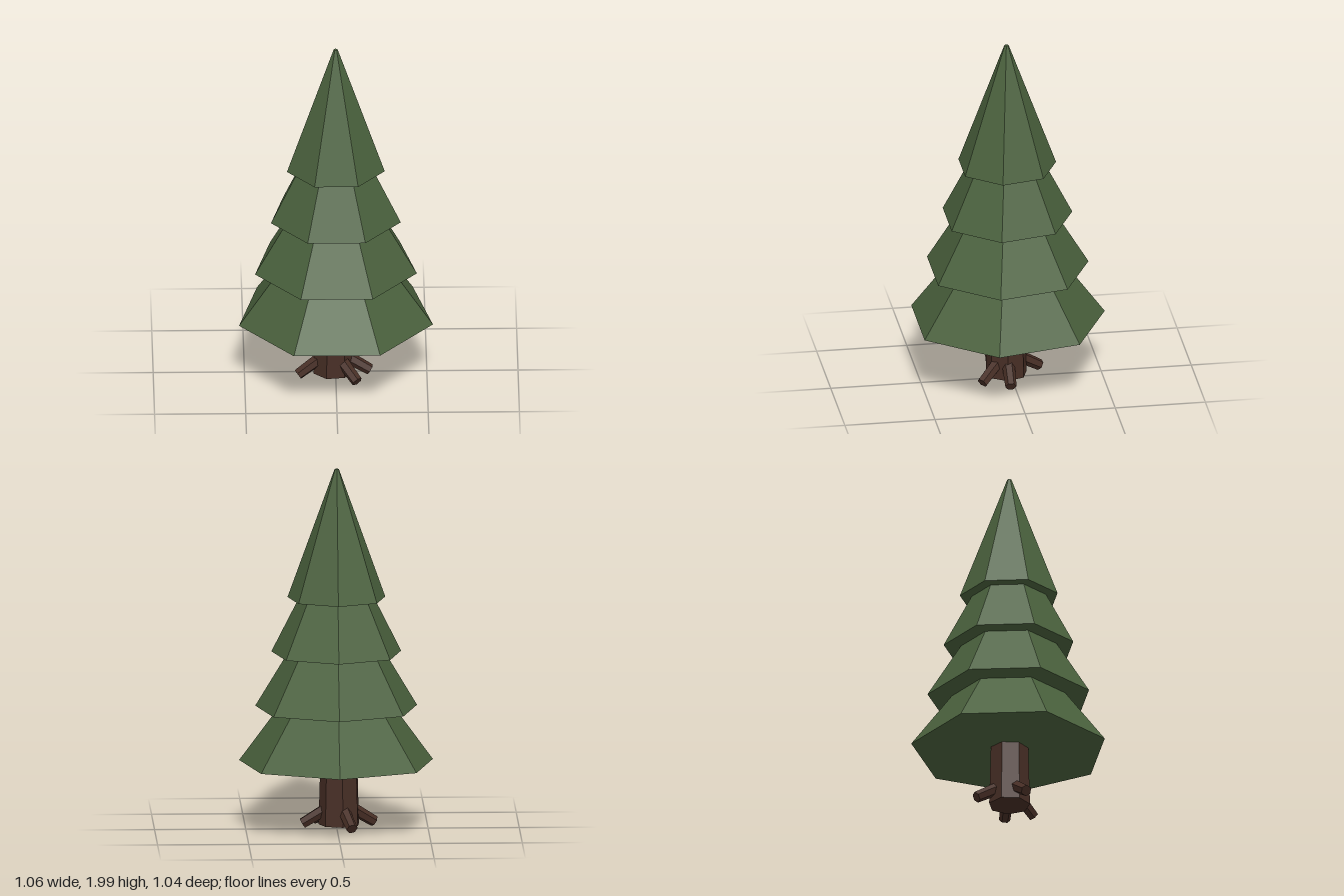
import * as THREE from 'three';

const needles = new THREE.MeshStandardMaterial({ color: 0x4a613d, flatShading: true });
needles.name = 'needleGreen';
const bark = new THREE.MeshStandardMaterial({ color: 0x472e25, flatShading: true });
bark.name = 'barkBrown';

const SIDES = 7;

function addMesh(parent, name, geometry, material) {
  const mesh = new THREE.Mesh(geometry, material);
  mesh.name = name;
  parent.add(mesh);
  return mesh;
}

// Tapered prism standing between two heights
function frustum(bottomY, topY, bottomR, topR, thetaStart) {
  return new THREE.CylinderGeometry(topR, bottomR, topY - bottomY, SIDES, 1, false, thetaStart)
    .translate(0, (bottomY + topY) / 2, 0);
}

export function createModel() {
  const tree = new THREE.Group();
  tree.name = 'pineTree';

  // Foliage: four stacked skirts, one corner pointing straight back
  const foliage = new THREE.Group();
  foliage.name = 'foliage';
  foliage.position.z = 0.025;
  tree.add(foliage);
  const tiers = [
    // bottom y, top y, bottom radius, top radius
    [0.365, 0.72, 0.545, 0.283],
    [0.67, 1.03, 0.455, 0.237],
    [0.975, 1.34, 0.365, 0.179],
    [1.28, 2.0, 0.275, 0.012],
  ];
  tiers.forEach(([y0, y1, r0, r1], i) =>
    addMesh(foliage, `foliageTier${i + 1}`, frustum(y0, y1, r0, r1, Math.PI), needles));

  // Trunk, slightly off the foliage axis
  const base = new THREE.Group();
  base.name = 'trunkAndRoots';
  base.position.set(-0.015, 0, 0.022);
  tree.add(base);
  addMesh(base, 'trunk', frustum(0.025, 0.45, 0.115, 0.103, -0.32), bark);

  // Roots: short stubs sloping down to the ground, angles measured from the front
  const up = new THREE.Vector3(0, 1, 0);
  [-72, 40, 88, 198].forEach((deg, i) => {
    const a = THREE.MathUtils.degToRad(deg);
    const at = (r, y) => new THREE.Vector3(Math.sin(a) * r, y, Math.cos(a) * r);
    const inner = at(0.05, 0.125);
    const tip = at(0.203, 0.031);
    const dir = tip.clone().sub(inner);
    const root = addMesh(base, `root${i + 1}`,
      new THREE.CylinderGeometry(0.031, 0.036, dir.length(), 6), bark);
    root.position.copy(inner).add(tip).multiplyScalar(0.5);
    root.quaternion.setFromUnitVectors(up, dir.normalize());
  });

  return tree;
}
